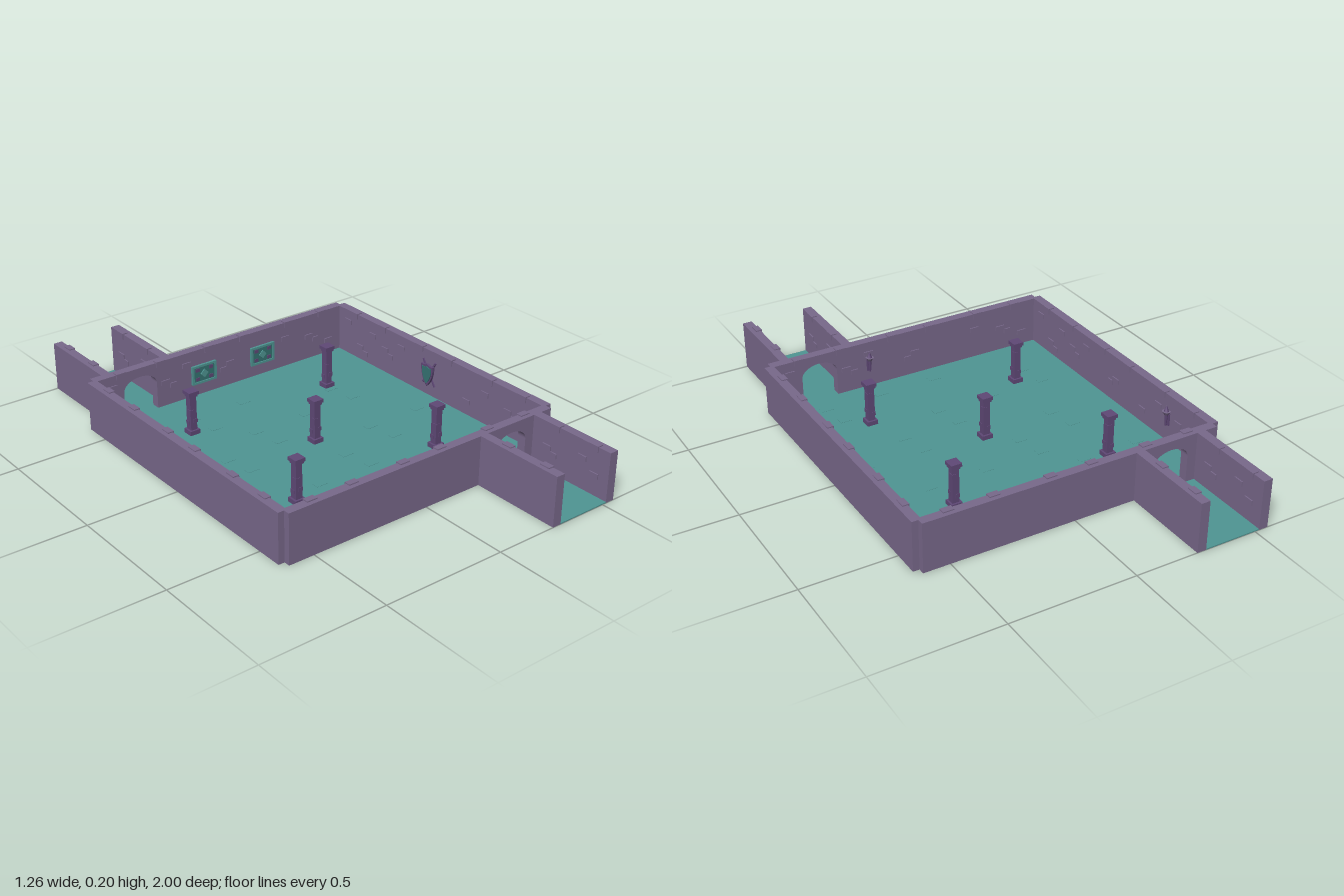
import * as THREE from 'three';

const mat = (name, color) => Object.assign(new THREE.MeshStandardMaterial({ color }), { name });
const stone = mat('purple stone', 0x78688a);
const dark = mat('dark purple stone', 0x5f4876);
const teal = mat('teal floor', 0x4f9593);
const deepTeal = mat('deep teal', 0x357372);

const H = 0.2, T = 0.037, INNER = 0.593;

function add(parent, name, geometry, material, x = 0, y = 0, z = 0) {
  const mesh = new THREE.Mesh(geometry, material);
  mesh.name = name;
  mesh.position.set(x, y, z);
  parent.add(mesh);
  return mesh;
}
const box = (parent, name, w, h, d, material, x, y, z) =>
  add(parent, name, new THREE.BoxGeometry(w, h, d), material, x, y, z);

// Wall in its own frame: inner face at z = 0 looking along +z
function makeWall(name, length, capBricks, faceBricks, doorX) {
  const g = new THREE.Group();
  g.name = name;
  const h = length / 2;
  const s = new THREE.Shape();
  s.moveTo(-h, 0);
  if (doorX !== undefined) {
    s.lineTo(doorX - 0.075, 0);
    s.lineTo(doorX - 0.075, 0.115);
    s.absellipse(doorX, 0.115, 0.075, 0.048, Math.PI, 0, true);
    s.lineTo(doorX + 0.075, 0);
  }
  s.lineTo(h, 0);
  s.lineTo(h, H);
  s.lineTo(-h, H);
  s.closePath();
  const geo = new THREE.ExtrudeGeometry(s, { depth: T, bevelEnabled: false, curveSegments: 16 });
  geo.translate(0, 0, -T);
  add(g, 'wallBody', geo, stone);
  // bricks folded over the inner top edge
  for (const x of capBricks) box(g, 'capBrick', 0.042, 0.025, 0.025, stone, x, 0.1915, -0.0075);
  // raised bricks, in stepped pairs or single
  faceBricks.forEach(([x, y, pair]) => {
    box(g, 'raisedBrick', 0.04, 0.02, 0.008, stone, x, y, 0.001);
    if (pair) box(g, 'raisedBrick', 0.03, 0.02, 0.008, stone, x + pair * 0.035, y - 0.02, 0.001);
  });
  return g;
}

// Square column with base, capital and worn raised bricks
function makeColumn(x, z) {
  const g = new THREE.Group();
  g.name = 'column';
  g.position.set(x, 0, z);
  box(g, 'columnBase', 0.044, 0.022, 0.044, dark, 0, 0.011, 0);
  box(g, 'columnShaft', 0.028, 0.15, 0.028, dark, 0, 0.097, 0);
  box(g, 'columnNeck', 0.036, 0.01, 0.036, dark, 0, 0.167, 0);
  box(g, 'columnCapital', 0.044, 0.014, 0.044, dark, 0, 0.178, 0);
  [[0.007, 0.06, 0.006], [-0.007, 0.1, 0.006], [0.007, 0.135, -0.006], [-0.007, 0.05, -0.006]]
    .forEach(([bx, y, bz]) => box(g, 'columnBrick', 0.018, 0.016, 0.02, dark, bx, y, bz));
  return g;
}

// Wall torch: bracket, bowl and pointed top
function makeSconce(x) {
  const g = new THREE.Group();
  g.name = 'sconce';
  g.position.set(x, 0.1, 0);
  box(g, 'sconcePlate', 0.018, 0.05, 0.006, dark, 0, 0, 0.003);
  add(g, 'sconceStem', new THREE.CylinderGeometry(0.007, 0.003, 0.05, 8), dark, 0, 0, 0.012);
  add(g, 'sconceBowl', new THREE.CylinderGeometry(0.017, 0.008, 0.015, 12), stone, 0, 0.03, 0.012);
  add(g, 'sconceTip', new THREE.ConeGeometry(0.01, 0.025, 8), dark, 0, 0.05, 0.012);
  return g;
}

// Framed relief panel
function makePanel(x) {
  const g = new THREE.Group();
  g.name = 'reliefPanel';
  g.position.set(x, 0.095, 0);
  box(g, 'panelPlate', 0.11, 0.078, 0.006, deepTeal, 0, 0, 0.003);
  for (const s of [-1, 1]) {
    box(g, 'panelRail', 0.116, 0.009, 0.01, teal, 0, s * 0.036, 0.005);
    box(g, 'panelStile', 0.009, 0.08, 0.01, teal, s * 0.054, 0, 0.005);
    for (const t of [-1, 1]) box(g, 'panelStud', 0.018, 0.014, 0.004, dark, s * 0.032, t * 0.02, 0.007);
  }
  box(g, 'panelDiamond', 0.026, 0.026, 0.004, teal, 0, 0, 0.008).rotation.z = Math.PI / 4;
  return g;
}

// Pointed shield over two crossed blades
function makeShield(x) {
  const g = new THREE.Group();
  g.name = 'wallShield';
  g.position.set(x, 0.105, 0);
  const outline = (k) => {
    const s = new THREE.Shape();
    s.moveTo(0, -0.055 * k);
    s.quadraticCurveTo(0.036 * k, -0.02 * k, 0.034 * k, 0.036 * k);
    s.quadraticCurveTo(0.015 * k, 0.032 * k, 0, 0.042 * k);
    s.quadraticCurveTo(-0.015 * k, 0.032 * k, -0.034 * k, 0.036 * k);
    s.quadraticCurveTo(-0.036 * k, -0.02 * k, 0, -0.055 * k);
    return s;
  };
  const plate = (k, d) => new THREE.ExtrudeGeometry(outline(k), { depth: d, bevelEnabled: false, curveSegments: 6 });
  add(g, 'shieldRim', plate(1, 0.01), dark, 0, 0, 0.008);
  add(g, 'shieldFace', plate(0.78, 0.004), deepTeal, 0, 0, 0.017);
  for (const s of [-1, 1]) {
    box(g, 'blade', 0.007, 0.125, 0.005, dark, 0, 0, 0.0045 + s * 0.001).rotation.z = s * 0.6;
  }
  return g;
}

export function createModel() {
  const model = new THREE.Group();
  model.name = 'dungeonRoom';

  // floors of the hall and both passages
  box(model, 'hallFloor', 1.19, 0.004, 1.19, teal, 0, 0.002, 0);

  // tiles standing slightly proud of the floor
  for (let i = 0; i < 24; i++) {
    const x = ((i * 0.377) % 1.05) - 0.52, z = ((i * 0.233 + 0.1) % 1.05) - 0.52;
    box(model, 'floorTile', 0.05, 0.002, 0.03, teal, x, 0.0042, z);
  }

  const caps = [0.495, 0.317, 0.09, -0.08, -0.31, -0.49];
  const bricks = [[-0.53, 0.15], [-0.29, 0.105, 1], [-0.19, 0.15], [0.02, 0.1, -1],
    [0.3, 0.13], [0.425, 0.105, 1], [0.53, 0.06]];
  const sideBricks = [...bricks, [-0.45, 0.06, 1], [-0.37, 0.14], [0.2, 0.06]];

  // four hall walls
  const back = makeWall('backWall', 1.21, caps, bricks, -0.405);
  back.position.z = -INNER;
  back.add(makePanel(-0.11), makePanel(0.18));

  const front = makeWall('frontWall', 1.21, caps, bricks, -0.405);
  front.rotation.y = Math.PI;
  front.position.z = INNER;
  front.add(makeSconce(-0.19));

  const right = makeWall('rightWall', 1.21, caps, sideBricks);
  right.rotation.y = Math.PI / 2;
  right.position.x = -INNER;
  right.add(makeSconce(0.365));

  const left = makeWall('leftWall', 1.21, caps, sideBricks.filter(([x]) => Math.abs(x) > 0.1));
  left.rotation.y = -Math.PI / 2;
  left.position.x = INNER;
  left.add(makeShield(-0.015));
  model.add(back, front, right, left);

  // the two passages, half a turn apart
  for (const turn of [0, Math.PI]) {
    const passage = new THREE.Group();
    passage.name = turn ? 'backPassage' : 'frontPassage';
    passage.rotation.y = turn;
    box(passage, 'passageFloor', 0.232, 0.004, 0.37, teal, 0.403, 0.002, 0.815);
    box(passage, 'doorSill', 0.15, 0.004, 0.04, teal, 0.405, 0.002, 0.612);
    for (const s of [-1, 1]) {
      const w = makeWall('passageWall', 0.372, [0.075, -0.11].map((v) => -s * v),
        [[-0.11, 0.1, 1], [0.06, 0.13], [0.12, 0.085]]);
      w.rotation.y = -s * Math.PI / 2;
      w.position.set(0.403 + s * 0.115, 0, 0.814);
      passage.add(w);
    }
    model.add(passage);
  }

  // five columns
  for (const [x, z] of [[-0.34, -0.335], [0.32, -0.335], [-0.01, 0.01], [-0.34, 0.325], [0.32, 0.325]]) {
    model.add(makeColumn(x, z));
  }
  return model;
}
